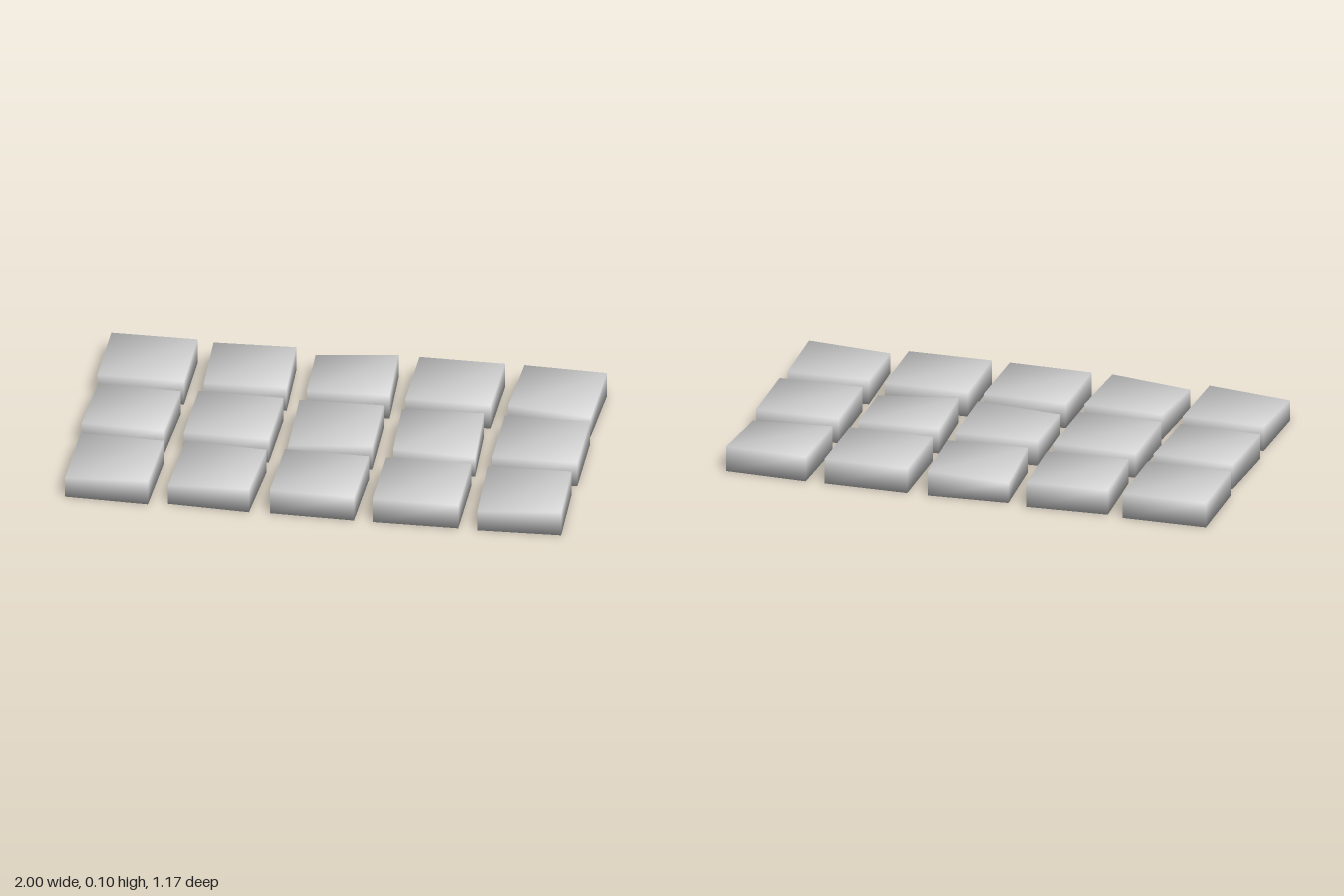
import * as THREE from 'three';
import { mergeVertices } from 'three/addons/utils/BufferGeometryUtils.js';

const PITCH = 0.413, CELL = 0.347, HEIGHT = 0.105, DROP = 0.02;

// Turn of each tile in degrees, rows from back to front, columns from -x to +x
const TURNS = [
  [0, 2.5, 3, -0.3, -2],
  [-2.5, -0.6, 1.5, 3, 0.7],
  [-1.7, -3, -1, 0.5, 2],
];

// Worn tiles: 'row,column' -> signs of the sunken top corner [x, z]
const WORN = {
  '0,2': [-1, -1], '0,4': [1, 1],
  '1,2': [-1, 1], '1,3': [1, 1],
  '2,0': [-1, 1], '2,1': [-1, 1], '2,4': [-1, 1],
};

// Block with shared corners and soft normals, one top corner optionally sunken
function tileGeometry(size, worn) {
  const box = new THREE.BoxGeometry(size, HEIGHT, size);
  box.deleteAttribute('normal');
  box.deleteAttribute('uv');
  const geo = mergeVertices(box);
  geo.clearGroups();
  geo.translate(0, HEIGHT / 2, 0);
  const p = geo.attributes.position;
  for (let i = 0; worn && i < p.count; i++) {
    const isCorner = p.getX(i) * worn[0] > 0 && p.getZ(i) * worn[1] > 0;
    if (isCorner && p.getY(i) > HEIGHT / 2) p.setY(i, HEIGHT - DROP);
  }
  geo.computeVertexNormals();
  return geo;
}

export function createModel() {
  const group = new THREE.Group();
  group.name = 'pavingTiles';
  const material = new THREE.MeshStandardMaterial({ color: 0xcccccc });

  TURNS.forEach((row, r) => row.forEach((degrees, c) => {
    const a = THREE.MathUtils.degToRad(degrees);
    // Turned tiles are slightly smaller so each still fits its cell
    const size = CELL / (Math.cos(a) + Math.abs(Math.sin(a)));
    const tile = new THREE.Mesh(tileGeometry(size, WORN[`${r},${c}`]), material);
    tile.name = `tileRow${r + 1}Column${c + 1}`;
    tile.position.set((c - 2) * PITCH, 0, (r - 1) * PITCH);
    tile.rotation.y = a;
    group.add(tile);
  }));
  return group;
}
